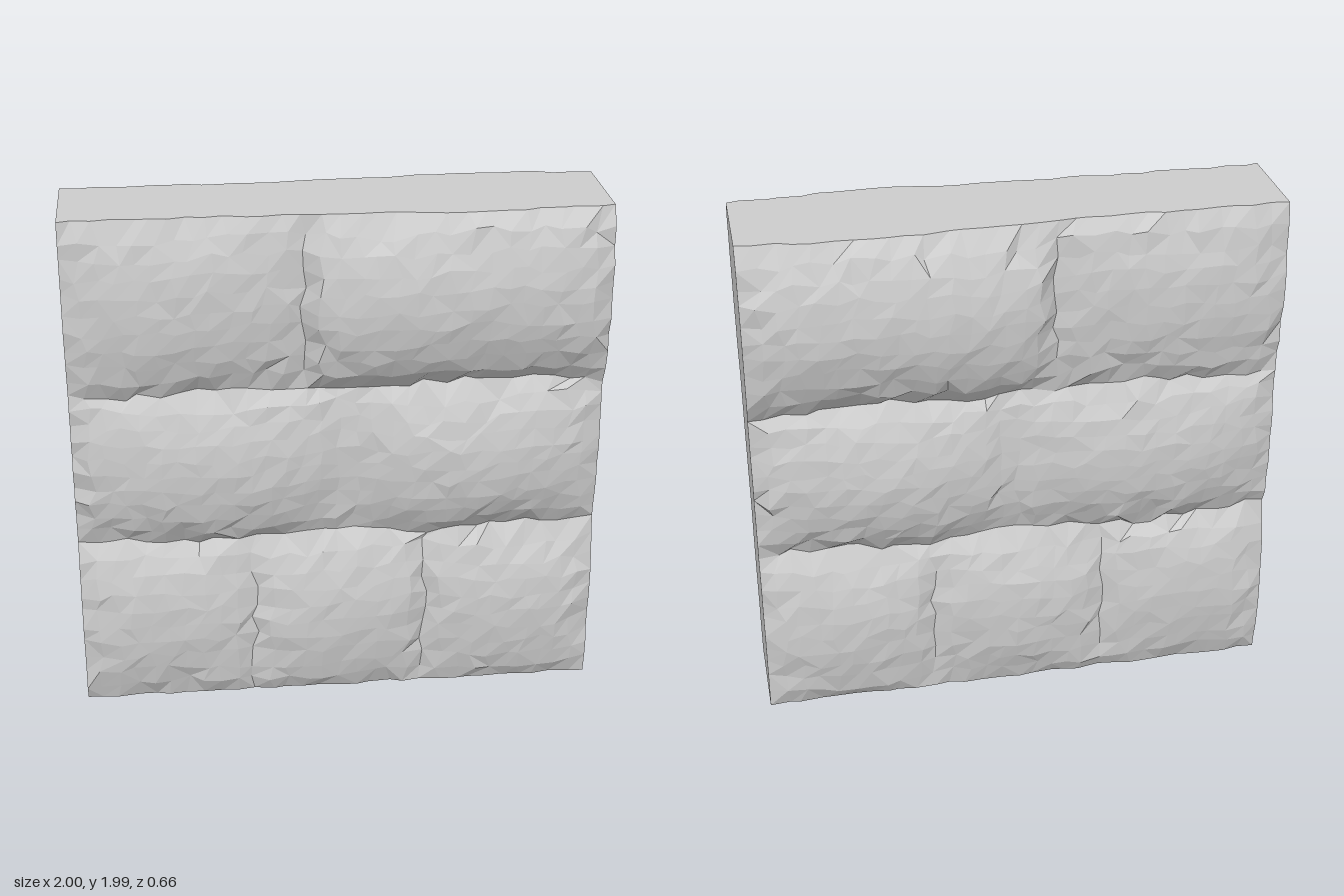
import * as THREE from 'three';

const COLS = 30, ROWS_PER_COURSE = 10, ROWS = 30;

// heights of the mortar lines and half thickness of the wall there
const LINES = [0, 0.69, 1.31, 1.99];
const RIMS = [0.185, 0.165, 0.18, 0.19];

// stones per course: x from, x to, bulge half depth, openness of the side joints (0 = deep)
const COURSES = [
  [[-1, -1 / 3, 0.255, 0.35], [-1 / 3, 1 / 3, 0.26, 0.35], [1 / 3, 1, 0.255, 0.3]],
  [[-1, 1 / 30, 0.265, 0.15], [1 / 30, 1, 0.275, 0.15]],
  [[-1, -0.13, 0.265, 0.3], [-0.13, 1, 0.33, 0.4]],
];

function seeded(seed) {
  return () => {
    seed = (seed * 1664525 + 1013904223) % 4294967296;
    return seed / 4294967296 - 0.5;
  };
}

// half thickness at x in a course, v runs 0..1 up the course
function halfDepth(course, x, v) {
  let rimTop = RIMS[course + 1];
  if (course === 2) rimTop += 0.035 * Math.exp(-(((x - 0.5) / 0.4) ** 2));
  const rim = THREE.MathUtils.lerp(RIMS[course], rimTop, v);
  const rise = Math.pow(Math.max(Math.sin(Math.PI * v), 0), 0.65);
  let depth = Infinity;
  for (const [x0, x1, bulge, open] of COURSES[course]) {
    if (x < x0 - 0.02 || x > x1 + 0.02) continue;
    const u = THREE.MathUtils.clamp((x - x0) / (x1 - x0), 0, 1);
    const swell = open + (1 - open) * Math.pow(Math.max(Math.sin(Math.PI * u), 0), 0.5);
    depth = Math.min(depth, rim + (bulge - rim) * rise * swell);
  }
  return depth;
}

// one rough face: a grid of jittered points, sign picks front or back
function addFace(points, sign, random) {
  for (let j = 0; j <= ROWS; j++) {
    const course = Math.min(Math.floor(j / ROWS_PER_COURSE), 2);
    const v = (j - course * ROWS_PER_COURSE) / ROWS_PER_COURSE;
    const y0 = THREE.MathUtils.lerp(LINES[course], LINES[course + 1], v);
    const border = j === 0 || j === ROWS;
    for (let i = 0; i <= COLS; i++) {
      const x0 = -1 + (2 * i) / COLS;
      const side = i === 0 || i === COLS;
      const nearEdge = i < 2 || i > COLS - 2 || v < 0.15 || v > 0.85;
      const wave = border ? 0 : 0.012 * Math.sin(x0 * 7 + course * 2);
      const x = x0 + (side ? 0 : random() * 0.035);
      const y = y0 + wave + (border ? 0 : random() * 0.028);
      const z = halfDepth(course, x0, v) + random() * (nearEdge ? 0.02 : 0.007);
      points.push(x, y, sign * z);
    }
  }
}

function wallGeometry() {
  const points = [], index = [];
  addFace(points, 1, seeded(11));
  addFace(points, -1, seeded(47));
  const stride = COLS + 1, back = stride * (ROWS + 1);
  const F = (i, j) => j * stride + i;
  const B = (i, j) => back + F(i, j);
  const quad = (a, b, c, d, flip) =>
    flip ? index.push(a, b, d, b, c, d) : index.push(a, b, c, a, c, d);

  for (let j = 0; j < ROWS; j++) {
    for (let i = 0; i < COLS; i++) {
      const flip = (i * 7 + j * 5 + i * j) % 3 === 0;
      quad(F(i, j), F(i + 1, j), F(i + 1, j + 1), F(i, j + 1), flip);
      quad(B(i + 1, j), B(i, j), B(i, j + 1), B(i + 1, j + 1), flip);
    }
  }
  // flat ends
  for (let j = 0; j < ROWS; j++) {
    quad(F(COLS, j), B(COLS, j), B(COLS, j + 1), F(COLS, j + 1));
    quad(B(0, j), F(0, j), F(0, j + 1), B(0, j + 1));
  }
  // flat top and bottom
  for (let i = 0; i < COLS; i++) {
    quad(F(i, ROWS), F(i + 1, ROWS), B(i + 1, ROWS), B(i, ROWS));
    quad(B(i, 0), B(i + 1, 0), F(i + 1, 0), F(i, 0));
  }

  const indexed = new THREE.BufferGeometry();
  indexed.setAttribute('position', new THREE.Float32BufferAttribute(points, 3));
  indexed.setIndex(index);
  const geometry = indexed.toNonIndexed();
  geometry.computeVertexNormals();
  return geometry;
}

export function createModel() {
  const group = new THREE.Group();
  group.name = 'stoneWall';
  const stone = new THREE.MeshStandardMaterial({ color: 0xcccccc, flatShading: true });
  const wall = new THREE.Mesh(wallGeometry(), stone);
  wall.name = 'stoneBlocks';
  group.add(wall);
  return group;
}
